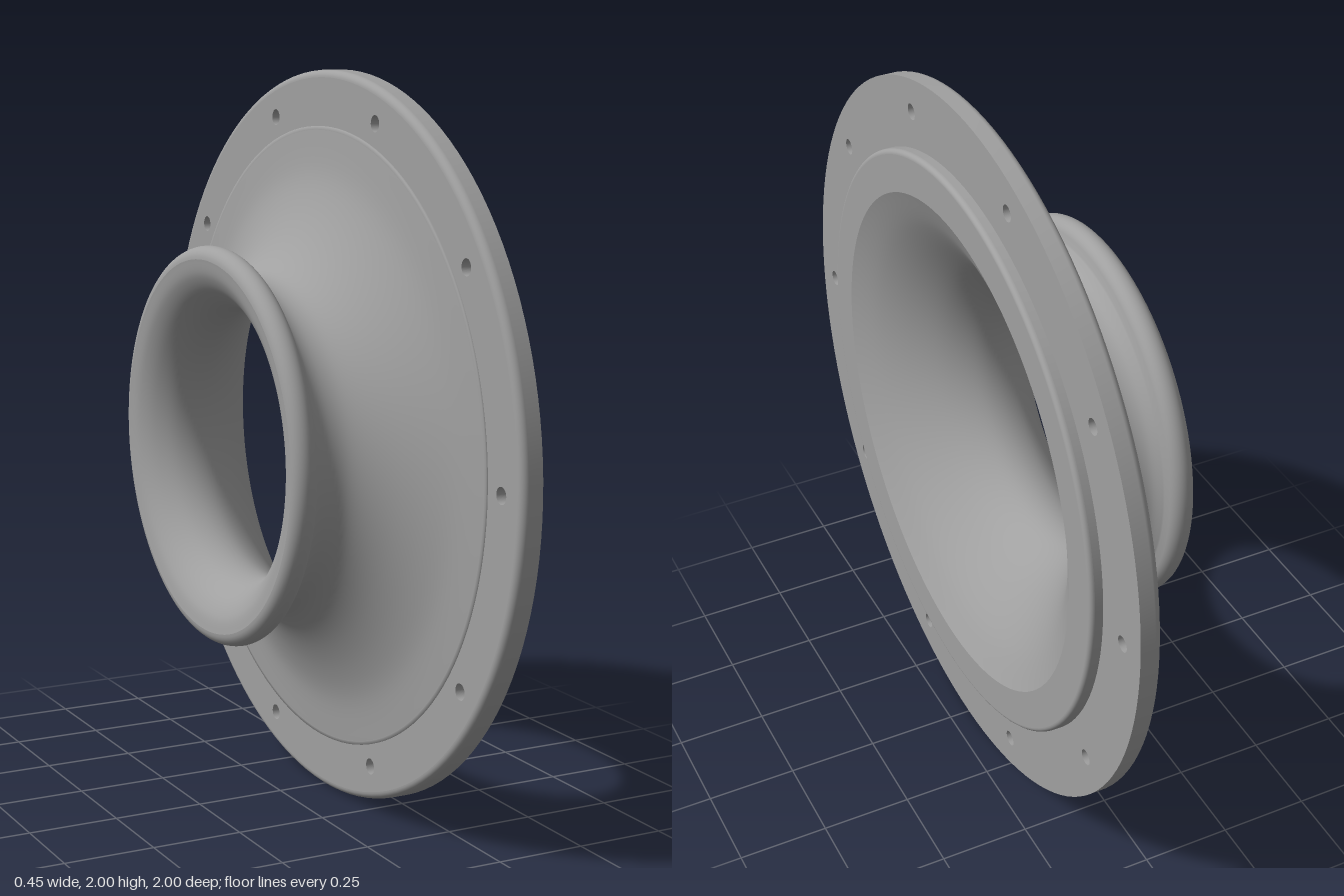
import * as THREE from 'three';

const SEG = 128;

export function createModel() {
  const model = new THREE.Group();
  const metal = new THREE.MeshStandardMaterial({ color: 0xa0a0a0 });
  metal.name = 'grey metal';

  const add = (name, geometry) => {
    const mesh = new THREE.Mesh(geometry, metal);
    mesh.name = name;
    mesh.position.y = 1;
    model.add(mesh);
  };
  // Revolve [x, radius] points about the x axis; outer surfaces run towards +x
  const revolve = (name, pts) => {
    const profile = pts.map(([x, r]) => new THREE.Vector2(r, x));
    add(name, new THREE.LatheGeometry(profile, SEG).rotateZ(-Math.PI / 2));
  };
  // Smooth curve through a few [x, radius] points
  const smooth = (pts, n) => new THREE.SplineCurve(pts.map(p => new THREE.Vector2(...p)))
    .getPoints(n).map(p => [p.x, p.y]);
  // Circular fillet in the [x, radius] plane, angles in degrees
  const arc = (cx, cr, rad, from, to, n = 8) => Array.from({ length: n + 1 }, (_, i) => {
    const a = THREE.MathUtils.degToRad(from + (to - from) * i / n);
    return [cx + rad * Math.cos(a), cr + rad * Math.sin(a)];
  });

  // Rolled bead, groove and flaring outside of the bell
  revolve('bellOutside', [
    ...arc(-0.195, 0.505, 0.035, 180, 15, 14),
    ...smooth([[-0.156, 0.495], [-0.13, 0.467], [-0.09, 0.456], [-0.045, 0.467],
      [0, 0.505], [0.045, 0.566], [0.085, 0.645], [0.112, 0.73], [0.125, 0.84]], 40),
  ]);
  revolve('bellStep', [[0.125, 0.84], [0.125, 0.85], [0.132, 0.85]]);

  // Flared inside, from the front face through the throat to the rolled bead
  revolve('bellInside', smooth([[0.225, 0.695], [0.18, 0.6], [0.12, 0.51], [0.05, 0.43],
    [-0.02, 0.38], [-0.08, 0.365], [-0.14, 0.378], [-0.19, 0.415], [-0.22, 0.46],
    [-0.23, 0.505]], 56));

  // Raised front lip
  revolve('lipRim', [[0.185, 0.81], [0.212, 0.81], ...arc(0.212, 0.797, 0.013, 90, 0)]);
  revolve('lipFace', [[0.225, 0.797], [0.225, 0.695]]);

  // Bolted flange with ten holes
  const FILLET = 0.02;
  const ring = new THREE.Shape().absarc(0, 0, 1 - FILLET, 0, Math.PI * 2);
  ring.holes.push(new THREE.Path().absarc(0, 0, 0.78, 0, Math.PI * 2, true));
  for (let i = 0; i < 10; i++) {
    const a = i * Math.PI / 5;
    ring.holes.push(new THREE.Path()
      .absarc(0.91 * Math.cos(a), 0.91 * Math.sin(a), 0.022, 0, Math.PI * 2, true));
  }
  add('flange', new THREE.ExtrudeGeometry(ring, { depth: 0.06, bevelEnabled: false, curveSegments: SEG / 2 })
    .rotateY(Math.PI / 2).translate(0.13, 0, 0));
  revolve('flangeRim', [...arc(0.13 + FILLET, 1 - FILLET, FILLET, 180, 90), [0.19, 1]]);
  revolve('flangeFrontEdge', [[0.19, 1], [0.19, 0.975]]);

  return model;
}
